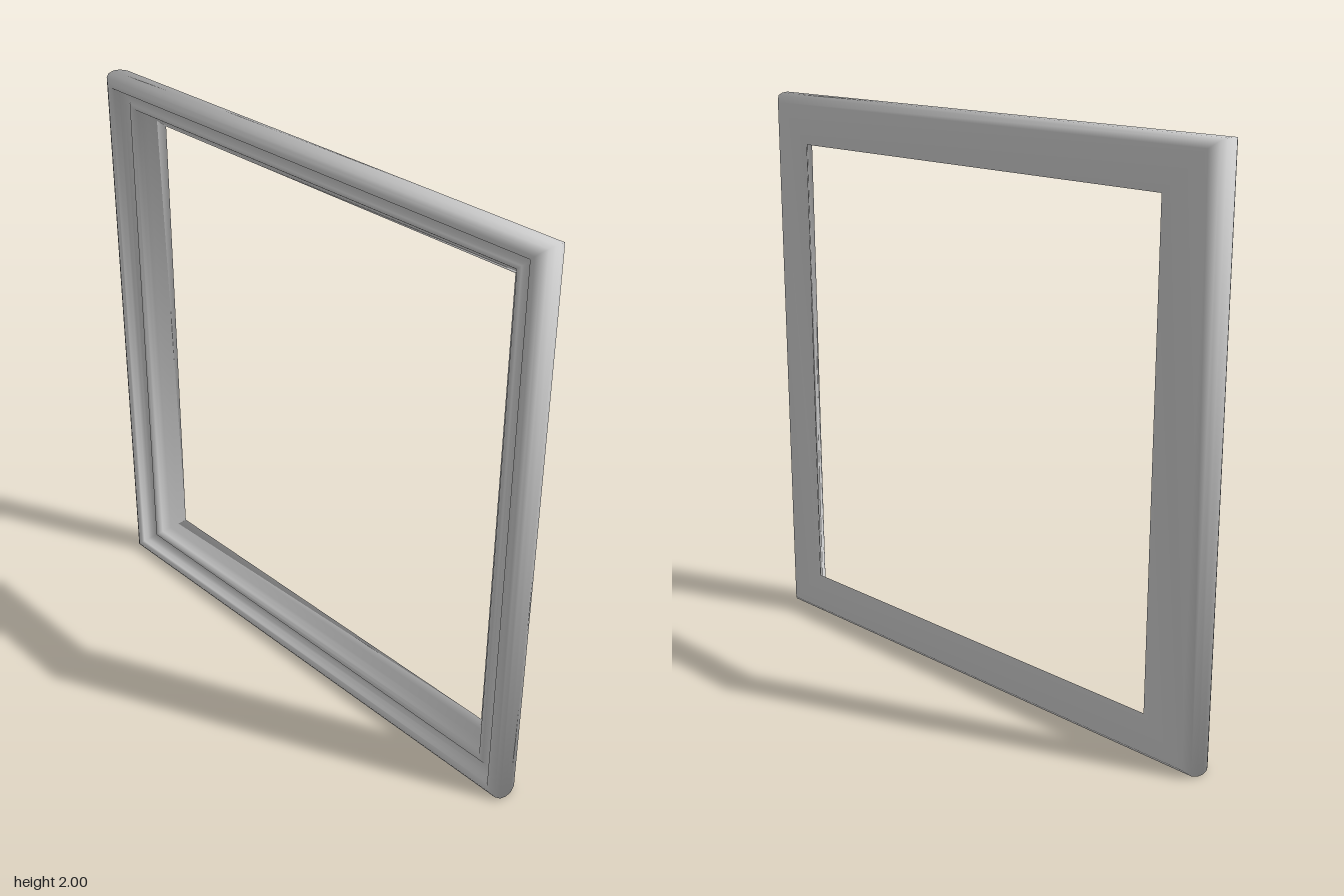
import * as THREE from 'three';

// Moulding cross-section: [inset from the outer edge, z], from the back inner lip
// round the outside and over the stepped front back to the lip.
const PROFILE = [
  [0.19, -0.062], [0.034, -0.062], [0.01, -0.04], [0.002, -0.015], [0, 0.01],
  [0.004, 0.035], [0.014, 0.051], [0.03, 0.06], [0.046, 0.058],
  [0.051, 0.05], [0.058, 0.034], [0.07, 0.022], [0.085, 0.017], [0.096, 0.017],
  [0.101, 0.023], [0.11, 0.025], [0.12, 0.02], [0.127, 0.01],
  [0.131, -0.003], [0.145, -0.018], [0.168, -0.04],
];

// Sweeps a closed profile round a rectangle with mitred corners.
function sweepFrame(profile, halfW, halfH, borderX, borderY) {
  const corners = [[1, 1], [-1, 1], [-1, -1], [1, -1]];
  const width = profile[0][0];
  const n = profile.length;
  const positions = [];
  const indices = [];
  corners.forEach(([sx, sy], c) => {
    profile.forEach(([inset, z], p) => {
      const t = inset / width;
      positions.push(sx * (halfW - t * borderX), sy * (halfH - t * borderY), z);
      const next = (c + 1) % 4;
      const q = (p + 1) % n;
      const a = c * n + p, b = next * n + p, d = next * n + q, e = c * n + q;
      indices.push(a, b, d, a, d, e);
    });
  });
  const geometry = new THREE.BufferGeometry();
  geometry.setAttribute('position', new THREE.Float32BufferAttribute(positions, 3));
  geometry.setIndex(indices);
  geometry.computeVertexNormals();
  return geometry;
}

export function createModel() {
  const group = new THREE.Group();
  group.name = 'pictureFrame';

  // Four mitred rails as one continuous moulding
  const frame = new THREE.Mesh(
    sweepFrame(PROFILE, 0.99, 1, 0.19, 0.17),
    new THREE.MeshStandardMaterial({ color: 0xcccccc })
  );
  frame.name = 'frameMoulding';
  frame.position.y = 1;
  group.add(frame);

  return group;
}
